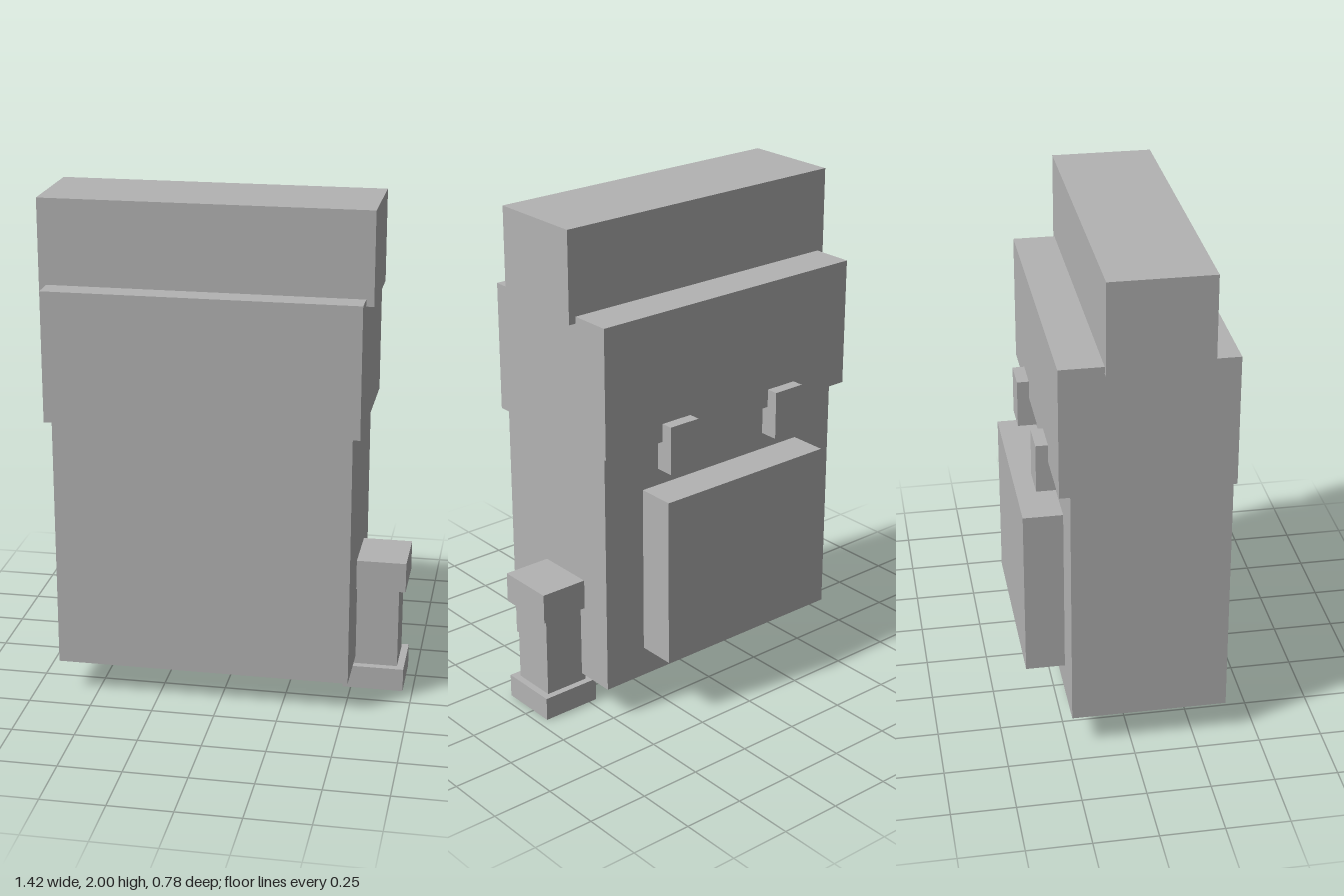
import * as THREE from 'three';

export function createModel() {
  const group = new THREE.Group();
  const grey = new THREE.MeshStandardMaterial({ color: 0xb3b3b3 });
  grey.name = 'grey';

  // Box given by its extents along each axis
  const block = (name, [x0, x1], [y0, y1], [z0, z1]) => {
    const mesh = new THREE.Mesh(new THREE.BoxGeometry(x1 - x0, y1 - y0, z1 - z0), grey);
    mesh.position.set((x0 + x1) / 2, (y0 + y1) / 2, (z0 + z1) / 2);
    mesh.name = name;
    group.add(mesh);
  };

  // Main case, stacked in three steps
  block('body', [-0.655, 0.514], [0.127, 1.15], [-0.233, 0.381]);
  block('upperBand', [-0.685, 0.543], [1.142, 1.663], [-0.279, 0.388]);
  block('topBlock', [-0.714, 0.573], [1.636, 2], [-0.11, 0.289]);

  // Raised panel and two clasps on the back
  block('backPanel', [-0.468, 0.33], [0.25, 0.942], [-0.388, -0.23]);
  for (const x of [-0.34, 0.2]) {
    block('clasp', [x - 0.069, x + 0.069], [1.02, 1.216], [-0.327, -0.25]);
  }

  // Capped post on the left side
  block('post', [0.497, 0.683], [0.08, 0.45], [-0.065, 0.122]);
  block('postFoot', [0.466, 0.711], [0, 0.095], [-0.092, 0.152]);
  block('postCap', [0.466, 0.711], [0.434, 0.556], [-0.092, 0.152]);

  return group;
}
